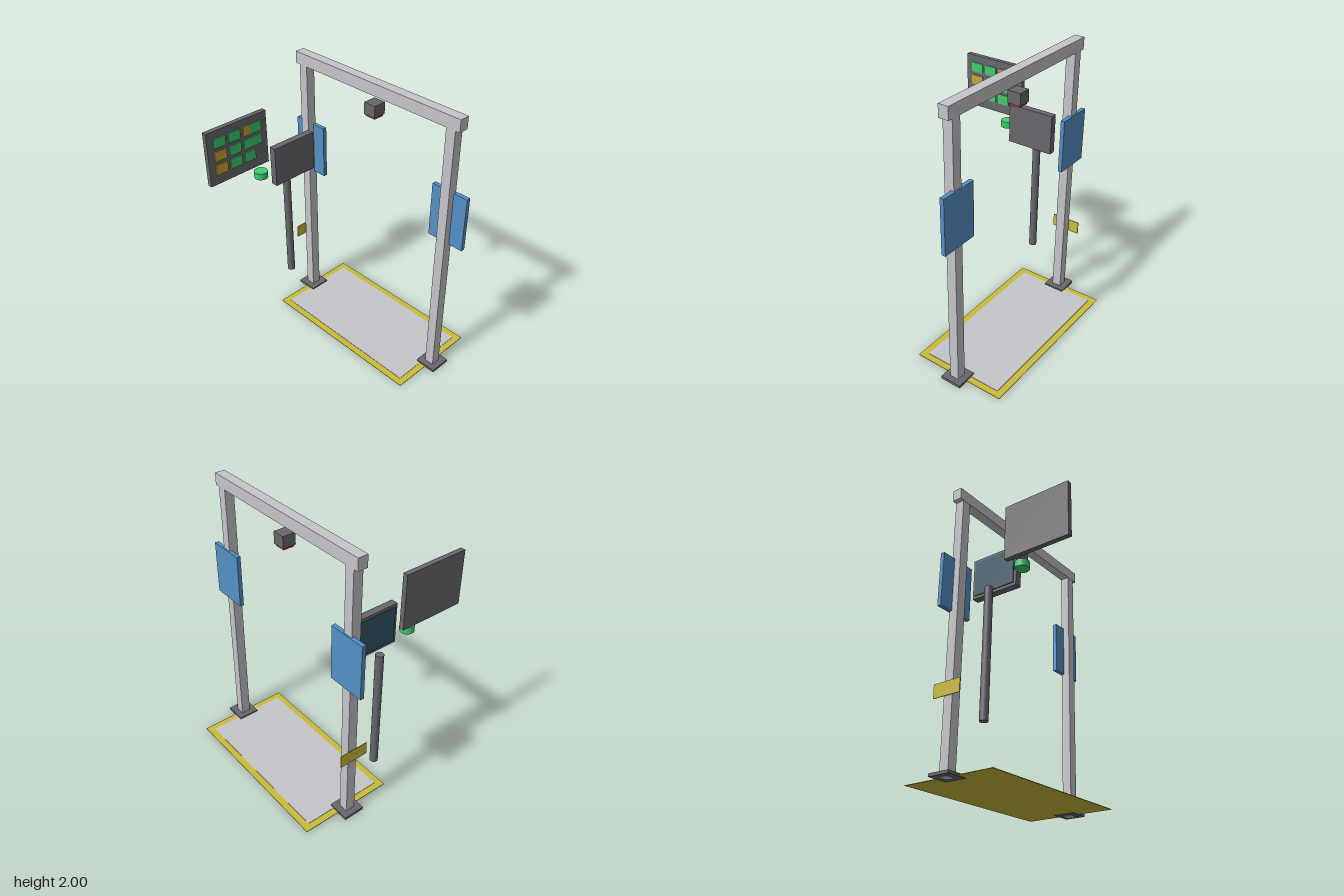
import * as THREE from 'three';

const mat = (name, color, extra = {}) => new THREE.MeshStandardMaterial({ name, color, ...extra });

export function createModel() {
  const model = new THREE.Group();
  model.name = 'scanningGate';

  const lightGrey = mat('lightGrey', 0xc5c5ca);
  const darkGrey = mat('darkGrey', 0x68676c);
  const yellow = mat('yellow', 0xc9bc3a);
  const blue = mat('blue', 0x5590c6);
  const green = mat('green', 0x40cc72);
  const orange = mat('orange', 0xc8a838);
  const red = mat('red', 0xc83236);
  const teal = mat('screenTeal', 0x2f5566);

  // Box given by its limits on each axis
  function box(name, material, [x0, x1], [y0, y1], [z0, z1]) {
    const mesh = new THREE.Mesh(new THREE.BoxGeometry(x1 - x0, y1 - y0, z1 - z0), material);
    mesh.position.set((x0 + x1) / 2, (y0 + y1) / 2, (z0 + z1) / 2);
    mesh.name = name;
    model.add(mesh);
    return mesh;
  }

  function cylinder(name, material, radius, x, [y0, y1], z) {
    const mesh = new THREE.Mesh(new THREE.CylinderGeometry(radius, radius, y1 - y0, 32), material);
    mesh.position.set(x, (y0 + y1) / 2, z);
    mesh.name = name;
    model.add(mesh);
    return mesh;
  }

  // Floor marking: yellow border with a grey zone on top
  box('floorBorder', yellow, [-0.075, 0.61], [0.005, 0.009], [-0.635, 0.635]);
  box('floorZone', lightGrey, [-0.027, 0.562], [0.009, 0.012], [-0.588, 0.588]);

  // Gate: two posts with foot plates and antenna panels, mirrored in z
  for (const [side, s] of [['front', 1], ['back', -1]]) {
    const span = (a, b) => (s > 0 ? [a, b] : [-b, -a]);
    box(side + 'Post', lightGrey, [0.232, 0.3], [0, 1.916], span(0.601, 0.669));
    box(side + 'FootPlate', darkGrey, [0.19, 0.345], [0.002, 0.022], span(0.557, 0.712));
    box(side + 'AntennaPanel', blue, [0.28, 0.309], [1.08, 1.468], span(0.499, 0.771));
  }
  box('topBeam', lightGrey, [0.23, 0.301], [1.916, 2], [-0.702, 0.702]);

  // Hanging sensor with a red lens underneath
  box('sensorBody', darkGrey, [0.22, 0.314], [1.772, 1.855], [-0.046, 0.046]);
  box('sensorLens', red, [0.228, 0.306], [1.758, 1.772], [-0.039, 0.039]);

  // Operator screen, facing backwards, and its pole
  box('monitorCase', darkGrey, [-0.152, 0.198], [1.18, 1.468], [-0.565, -0.515]);
  box('monitorScreen', teal, [-0.134, 0.18], [1.2, 1.448], [-0.571, -0.565]);
  cylinder('monitorPole', darkGrey, 0.028, 0.022, [0.3, 1.19], -0.616);

  // Status board with rows of coloured tiles
  box('statusBoard', darkGrey, [-0.611, -0.126], [1.325, 1.715], [-0.655, -0.62]);
  const rows = [[1.591, 1.661], [1.495, 1.565], [1.396, 1.469]];
  const thirdColumn = [[-0.27, -0.175], [-0.325, -0.175], [-0.325, -0.235]];
  rows.forEach((y, i) => {
    const z = [-0.62, -0.612];
    box('statusTile', i === 0 ? green : orange, [-0.563, -0.468], y, z);
    box('statusTile', green, [-0.443, -0.349], y, z);
    box('statusTile', green, thirdColumn[i], y, z);
  });
  box('statusTile', orange, [-0.325, -0.27], rows[0], [-0.62, -0.612]);

  // Green signal light
  cylinder('signalLight', green, 0.048, -0.222, [1.252, 1.3], -0.592);

  // Thin yellow sign behind the rear post
  box('signPlate', yellow, [0.16, 0.373], [0.495, 0.59], [-0.687, -0.682]);

  return model;
}
